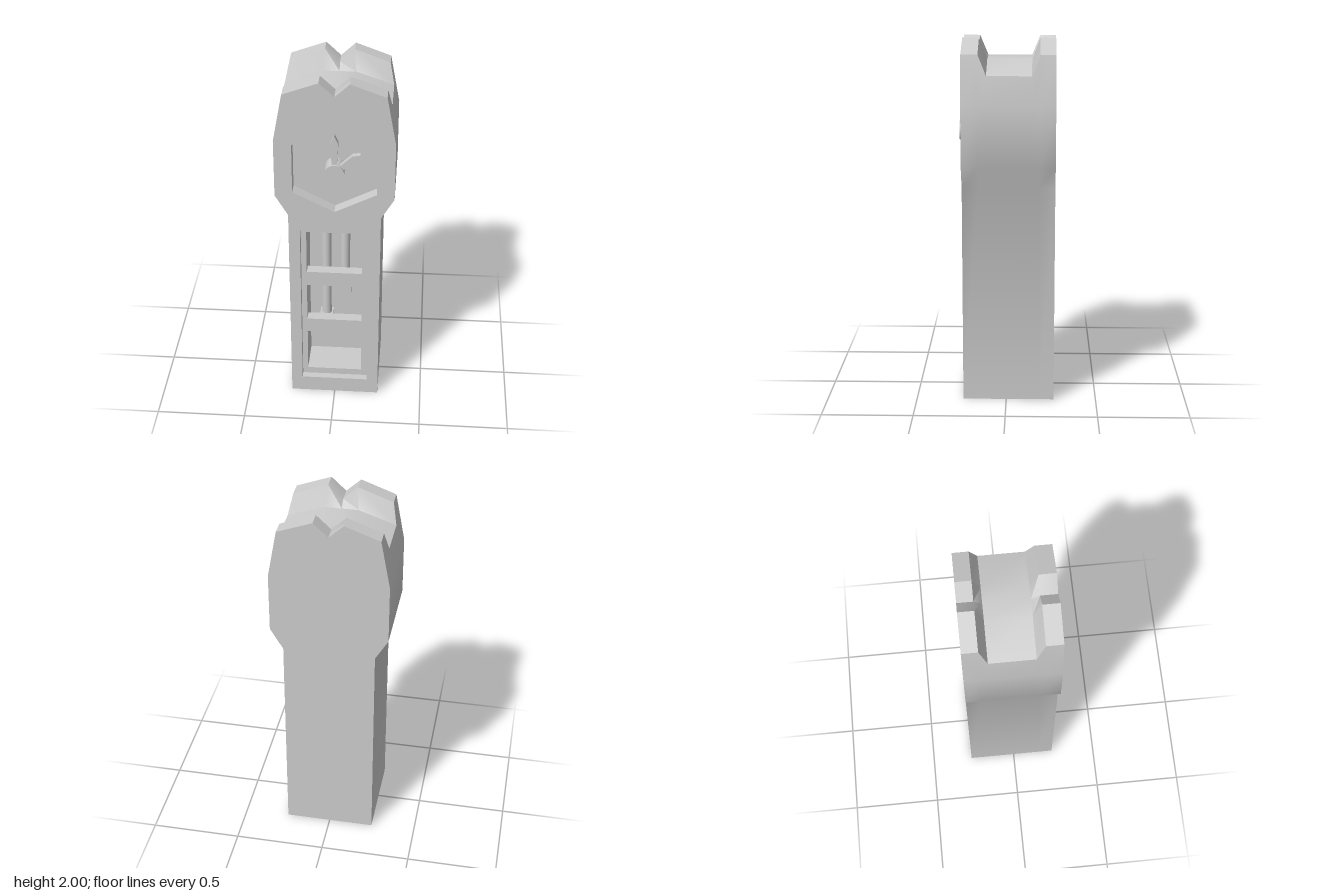
import * as THREE from 'three';
import { toCreasedNormals } from 'three/addons/utils/BufferGeometryUtils.js';

const FRONT = 0.24, BACK = -0.265;
const material = new THREE.MeshStandardMaterial({ color: 0xcccccc });

function add(group, name, geometry) {
  const mesh = new THREE.Mesh(geometry, material);
  mesh.name = name;
  group.add(mesh);
  return mesh;
}

const vectors = (points) => points.map(([x, y]) => new THREE.Vector2(x, y));
const rect = (x0, x1, y0, y1) => [[x0, y0], [x1, y0], [x1, y1], [x0, y1]];

function shapeOf(points, holes = []) {
  const shape = new THREE.Shape(vectors(points));
  holes.forEach((h) => shape.holes.push(new THREE.Path(vectors(h))));
  return shape;
}

// Skin through counter-clockwise outlines, ordered from front to back
function loft(sections) {
  const n = sections[0].points.length;
  const position = [], index = [];
  sections.forEach(({ z, points }) => points.forEach(([x, y]) => position.push(x, y, z)));
  for (let s = 0; s < sections.length - 1; s++) {
    for (let i = 0; i < n; i++) {
      const a = s * n + i, b = s * n + (i + 1) % n;
      index.push(a, a + n, b + n, a, b + n, b);
    }
  }
  const geometry = new THREE.BufferGeometry();
  geometry.setAttribute('position', new THREE.Float32BufferAttribute(position, 3));
  geometry.setIndex(index);
  return toCreasedNormals(geometry, 0.6);
}

// Inward-facing walls of a recess, with an optional floor
function addRecess(group, name, points, zFront, zBack, floor = true) {
  const inward = [...points].reverse();
  add(group, name + 'Walls', loft([{ z: zFront, points: inward }, { z: zBack, points: inward }]));
  if (floor) add(group, name + 'Floor', new THREE.ShapeGeometry(shapeOf(points))).position.z = zBack;
}

// Closed case outline; the top edge is given for x >= 0, from outside to centre
function outline(top) {
  const right = [[0.25, 0], [0.25, 1.21], [0.32, 1.33], [0.32, 1.66], ...top];
  const left = right.slice(0, -1).reverse().map(([x, y]) => [-x, y]);
  return [...right, ...left];
}

function hand(length, width) {
  const w = width / 2;
  const shape = shapeOf([[-w * 0.5, 0], [w * 0.5, 0], [w, length * 0.79], [0, length], [-w, length * 0.79]]);
  return new THREE.ExtrudeGeometry(shape, { depth: 0.03, bevelEnabled: false });
}

export function createModel() {
  const model = new THREE.Group();
  model.name = 'longcaseClock';

  // Case: notched crests at front and back with a lower roof between
  const crest = outline([[0.27, 1.93], [0.08, 2], [0, 1.925]]);
  const roof = outline([[0.293, 1.82], [0.09, 1.89], [0, 1.89]]);
  const hexagon = [[0, 1.24], [0.225, 1.355], [0.225, 1.64], [0, 1.755], [-0.225, 1.64], [-0.225, 1.355]];
  const panel = rect(-0.188, 0.186, 0.095, 1.115);

  const clockCase = new THREE.Group();
  clockCase.name = 'case';
  model.add(clockCase);
  add(clockCase, 'caseSides', loft([
    { z: FRONT, points: crest }, { z: 0.15, points: crest },
    { z: 0.105, points: roof }, { z: -0.137, points: roof },
    { z: -0.18, points: crest }, { z: BACK, points: crest },
  ]));
  add(clockCase, 'caseFront', new THREE.ShapeGeometry(shapeOf(crest, [hexagon, panel]))).position.z = FRONT;
  const back = add(clockCase, 'caseBack', new THREE.ShapeGeometry(shapeOf(crest)));
  back.rotation.y = Math.PI;
  back.position.z = BACK;

  // Clock face: hexagonal recess, two hands and a hub
  const face = new THREE.Group();
  face.name = 'clockFace';
  model.add(face);
  addRecess(face, 'dial', hexagon, FRONT, 0.17);
  const hub = add(face, 'hub', new THREE.CylinderGeometry(0.053, 0.053, 0.092, 24));
  hub.rotation.x = Math.PI / 2;
  hub.position.set(0, 1.485, 0.216);
  const minuteHand = add(face, 'minuteHand', hand(0.22, 0.042));
  minuteHand.position.set(0, 1.485, 0.22);
  const hourHand = add(face, 'hourHand', hand(0.177, 0.042));
  hourHand.position.set(0, 1.485, 0.22);
  hourHand.rotation.z = -0.88;

  // Door: recessed frame with three windows opening on one cavity
  const door = new THREE.Group();
  door.name = 'door';
  model.add(door);
  addRecess(door, 'doorRecess', panel, FRONT, 0.2, false);
  const windows = [[0.135, 0.4], [0.49, 0.725], [0.815, 1.08]].map(([y0, y1]) => rect(-0.158, 0.15, y0, y1));
  const frame = new THREE.ExtrudeGeometry(shapeOf(panel, windows), { depth: 0.06, bevelEnabled: false });
  add(door, 'doorFrame', frame).position.z = 0.14;
  addRecess(door, 'cavity', rect(-0.158, 0.15, 0.135, 1.08), 0.14, 0);

  // Hanging rods with weights at different heights
  for (const [x, bottom] of [[-0.057, 0.365], [0.048, 0.587]]) {
    const pendulum = new THREE.Group();
    pendulum.name = 'pendulum';
    model.add(pendulum);
    const rodBase = bottom + 0.083;
    add(pendulum, 'rod', new THREE.CylinderGeometry(0.027, 0.027, 1.08 - rodBase, 20))
      .position.set(x, (1.08 + rodBase) / 2, 0.06);
    add(pendulum, 'weight', new THREE.BoxGeometry(0.075, 0.083, 0.075))
      .position.set(x, bottom + 0.0415, 0.06);
  }
  return model;
}
